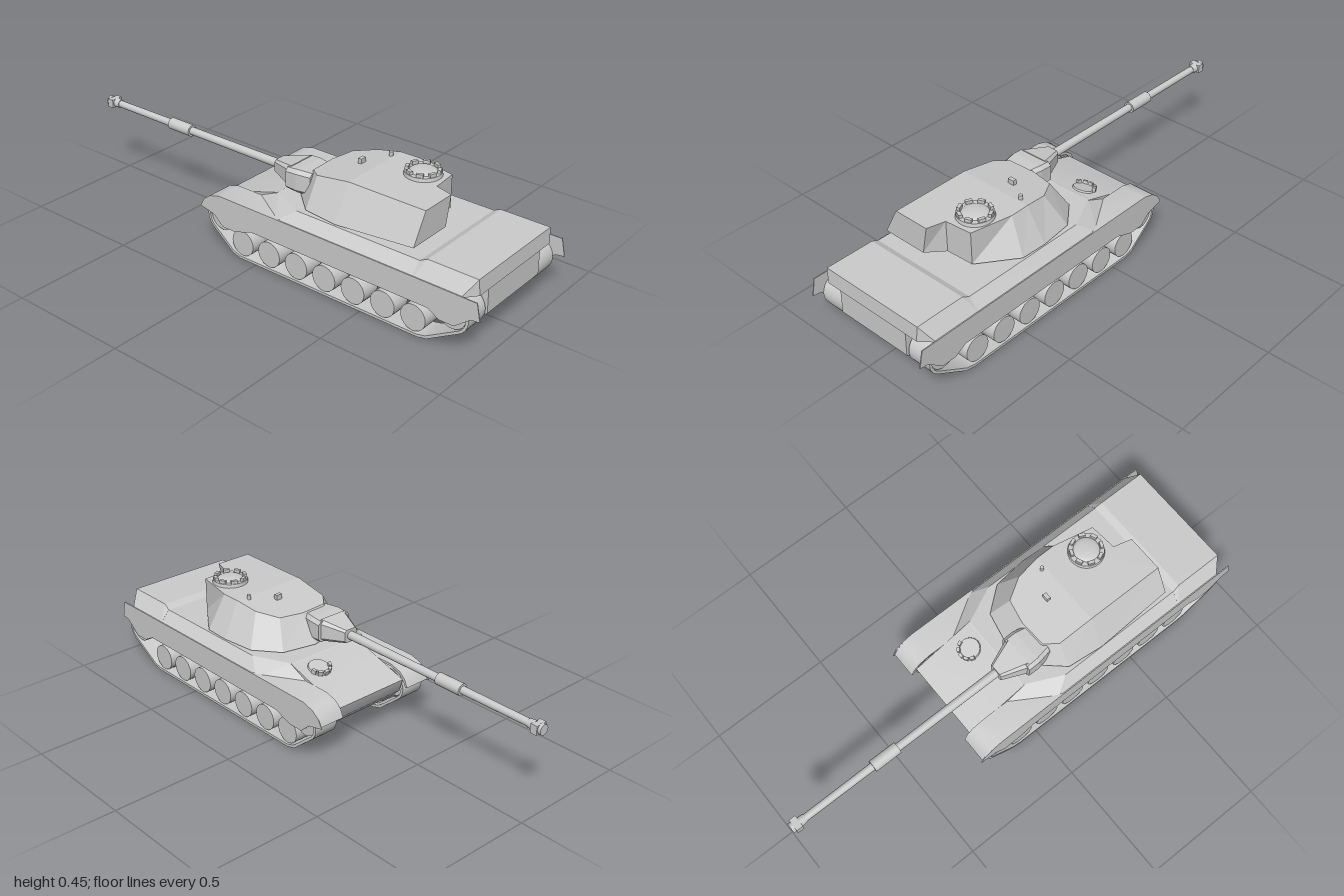
import * as THREE from 'three';
import { ConvexGeometry } from 'three/addons/geometries/ConvexGeometry.js';
import { toCreasedNormals } from 'three/addons/utils/BufferGeometryUtils.js';

const material = new THREE.MeshStandardMaterial({ color: 0xcccccc, side: THREE.DoubleSide });

function add(parent, name, geometry, x = 0, y = 0, z = 0) {
  const mesh = new THREE.Mesh(geometry, material);
  mesh.name = name;
  mesh.position.set(x, y, z);
  parent.add(mesh);
  return mesh;
}

const creased = (g) => toCreasedNormals(g, 0.6);
const outline = (pts) => pts.map(([a, b]) => new THREE.Vector2(a, b));

// Extrudes a side profile of [z, y] points from x0 to x1
function slab(pts, x0, x1, hole) {
  const shape = new THREE.Shape(outline(pts));
  if (hole) shape.holes.push(new THREE.Path(outline(hole)));
  const g = new THREE.ExtrudeGeometry(shape, { depth: x1 - x0, bevelEnabled: false });
  return creased(g.rotateY(-Math.PI / 2).translate(x1, 0, 0));
}

// Convex solid from [x, y, z] points mirrored across x = 0
function mirroredHull(pts) {
  const all = pts.flatMap(([x, y, z]) => [new THREE.Vector3(x, y, z), new THREE.Vector3(-x, y, z)]);
  return new ConvexGeometry(all);
}

// Cylinder lying along z, between zFront and zBack
function rod(rFront, rBack, zFront, zBack, sides = 20) {
  const g = new THREE.CylinderGeometry(rBack, rFront, zBack - zFront, sides);
  return g.rotateX(Math.PI / 2).translate(0, 0, (zFront + zBack) / 2);
}

// Track loop: two round ends joined by sloped runs to the ground
function trackLoop(t) {
  const pts = [];
  const arc = (cz, cy, r, a0, a1) => {
    for (let i = 0; i <= 12; i++) {
      const a = a0 + (a1 - a0) * i / 12;
      pts.push([cz + (r - t) * Math.cos(a), cy + (r - t) * Math.sin(a)]);
    }
  };
  arc(0.885, 0.145, 0.07, -0.95, Math.PI / 2);
  arc(-0.175, 0.145, 0.068, Math.PI / 2, Math.PI * 1.25);
  pts.push([-0.12 + t * 0.4, 0.012 + t], [-0.08, t], [0.75, t], [0.79 - t * 0.4, 0.008 + t]);
  return pts;
}

// Turret shell: base corners [x, y, z] joined to roof corners [x, z]
function turretShell() {
  const base = [
    [-0.225, 0.308, 0.685], [-0.03, 0.308, 0.685], [0.015, 0.295, 0.61], [0.128, 0.29, 0.6],
    [0.232, 0.285, 0.45], [0.236, 0.285, 0.34], [0.22, 0.285, 0.2], [0.14, 0.285, 0.1],
    [0, 0.285, 0.07], [-0.13, 0.285, 0.1], [-0.22, 0.285, 0.2], [-0.236, 0.285, 0.35]];
  const roof = [
    [-0.16, 0.685], [-0.005, 0.685], [0.015, 0.61], [0.128, 0.6], [0.163, 0.43], [0.162, 0.35],
    [0.15, 0.25], [0.1, 0.165], [0, 0.145], [-0.115, 0.15], [-0.155, 0.2], [-0.16, 0.35]];
  const n = base.length;
  const top = roof.map(([x, z]) => [x, 0.427 - 0.16 * Math.max(0, 0.35 - z), z]);
  const pos = [];
  const tri = (...corners) => corners.forEach((c) => pos.push(...c));
  const cap = (ring, flip) => {
    const flat = ring.map(([x, , z]) => new THREE.Vector2(x, -z));
    for (const [a, b, c] of THREE.ShapeUtils.triangulateShape(flat, [])) {
      if (flip) tri(ring[a], ring[c], ring[b]);
      else tri(ring[a], ring[b], ring[c]);
    }
  };
  for (let i = 0; i < n; i++) {
    const j = (i + 1) % n;
    tri(base[i], base[j], top[j]);
    tri(base[i], top[j], top[i]);
  }
  cap([...top.slice(0, 6), top[11]], false);
  cap(top.slice(5), false);
  cap(base, true);
  const g = new THREE.BufferGeometry();
  g.setAttribute('position', new THREE.Float32BufferAttribute(pos, 3));
  g.computeVertexNormals();
  return g;
}

// Chamfered rectangle in the xy plane at depth z, for the mantlet
function section(z, w, h, y = 0) {
  const c = 0.3 * h;
  return [[w, h - c], [w - c, h]].flatMap(([a, b]) => [
    new THREE.Vector3(a, y + b, z), new THREE.Vector3(-a, y + b, z),
    new THREE.Vector3(a, y - b, z), new THREE.Vector3(-a, y - b, z)]);
}

function buildHull(root) {
  const hull = new THREE.Group();
  hull.name = 'hull';
  root.add(hull);
  // Lower hull with sloped glacis and belly
  add(hull, 'lowerHull', slab([
    [0.957, 0.285], [0.96, 0.13], [0.9, 0.077], [-0.13, 0.077], [-0.19, 0.1], [-0.23, 0.14],
    [-0.247, 0.195], [0.02, 0.277], [0.72, 0.277]], -0.168, 0.168));
  // Sloped superstructure, narrowing toward the glacis
  add(hull, 'superstructure', mirroredHull([
    [0.28, 0.23, 0.74], [0.28, 0.23, 0.1], [0.17, 0.23, -0.08],
    [0.235, 0.278, 0.74], [0.235, 0.278, 0.17], [0.165, 0.278, 0.02]]));
  // Raised engine deck with clipped rear corners
  add(hull, 'engineDeck', mirroredHull([
    [0.28, 0.23, 0.92], [0.228, 0.23, 0.962], [0.28, 0.23, 0.72],
    [0.232, 0.293, 0.957], [0.232, 0.293, 0.75], [0.236, 0.278, 0.72]]));
  // Driver hatch with a half ring of vision blocks
  const hatch = new THREE.Group();
  hatch.name = 'driverHatch';
  hatch.position.set(0.085, 0.257, -0.045);
  hatch.rotation.x = -0.3;
  hull.add(hatch);
  add(hatch, 'hatchLid', new THREE.CylinderGeometry(0.042, 0.046, 0.014, 24));
  for (let i = -2; i <= 2; i++) {
    const a = i * 0.6;
    const block = add(hatch, 'visionBlock', new THREE.BoxGeometry(0.018, 0.018, 0.012),
      0.042 * Math.sin(a), 0.01, -0.042 * Math.cos(a));
    block.rotation.y = -a;
  }
}

function buildRunningGear(root, s) {
  const gear = new THREE.Group();
  gear.name = s > 0 ? 'leftRunningGear' : 'rightRunningGear';
  root.add(gear);
  const span = (a, b) => (s > 0 ? [a, b] : [-b, -a]);
  add(gear, 'track', slab(trackLoop(0), ...span(0.174, 0.277), trackLoop(0.011)));
  // Road wheels, then the larger end wheels
  const wheel = (name, r, y, z) => add(gear, name,
    new THREE.CylinderGeometry(r, r, 0.08, 24).rotateZ(Math.PI / 2), s * 0.23, y, z);
  for (let i = 0; i < 7; i++) wheel('roadWheel', 0.053, 0.066, 0.726 - i * 0.133);
  wheel('rearSprocket', 0.056, 0.145, 0.885);
  wheel('frontIdler', 0.054, 0.145, -0.175);
  // Thin side skirt with upswept rear end
  add(gear, 'sideSkirt', slab([
    [0.985, 0.236], [1, 0.166], [0.965, 0.162], [0.9, 0.11], [0.84, 0.11], [0.79, 0.138],
    [-0.02, 0.138], [-0.1, 0.11], [-0.165, 0.11], [-0.21, 0.15], [-0.28, 0.166],
    [-0.262, 0.2], [-0.23, 0.224], [-0.18, 0.238], [0.1, 0.238]], ...span(0.277, 0.281)));
  // Curved front fender over the track
  add(gear, 'frontFender', slab([
    [0.12, 0.238], [0.12, 0.228], [-0.18, 0.228], [-0.225, 0.214], [-0.25, 0.19], [-0.262, 0.166],
    [-0.272, 0.168], [-0.258, 0.2], [-0.23, 0.224], [-0.18, 0.238]], ...span(0.167, 0.279)));
}

function buildTurret(root) {
  const turret = new THREE.Group();
  turret.name = 'turret';
  root.add(turret);
  add(turret, 'turretShell', turretShell());
  add(turret, 'turretRing', new THREE.CylinderGeometry(0.21, 0.21, 0.02, 40), 0, 0.279, 0.31);
  // Commander cupola: drum, domed lid and a ring of vision blocks
  const cupola = new THREE.Group();
  cupola.name = 'cupola';
  cupola.position.set(0.066, 0.425, 0.515);
  turret.add(cupola);
  add(cupola, 'cupolaDrum', new THREE.CylinderGeometry(0.07, 0.073, 0.018, 32), 0, 0.007, 0);
  const dome = new THREE.SphereGeometry(0.052, 28, 8, 0, Math.PI * 2, 0, Math.PI / 2);
  add(cupola, 'cupolaLid', dome.scale(1, 0.22, 1), 0, 0.015, 0);
  for (let i = 0; i < 8; i++) {
    const a = (i + 0.5) * Math.PI / 4;
    const block = add(cupola, 'visionBlock', new THREE.BoxGeometry(0.026, 0.016, 0.013),
      0.06 * Math.sin(a), 0.021, 0.06 * Math.cos(a));
    block.rotation.y = a;
  }
  add(turret, 'roofSight', new THREE.BoxGeometry(0.027, 0.022, 0.016), 0.015, 0.424, 0.275);
  add(turret, 'roofPeriscope', new THREE.CylinderGeometry(0.008, 0.008, 0.026, 10), 0.115, 0.43, 0.335);
  // Mantlet block and its tapered nose
  const gun = new THREE.Group();
  gun.name = 'gun';
  gun.position.set(-0.079, 0.342, 0);
  turret.add(gun);
  add(gun, 'mantlet', new ConvexGeometry([
    ...section(0.16, 0.068, 0.046), ...section(0.1, 0.08, 0.048), ...section(0.05, 0.08, 0.044)]));
  add(gun, 'mantletNose', new ConvexGeometry([
    ...section(0.06, 0.072, 0.046, 0.002), ...section(0.02, 0.052, 0.04), ...section(-0.047, 0.03, 0.027)]));
  // Barrel, sleeve and muzzle brake
  add(gun, 'barrel', rod(0.0145, 0.0175, -0.95, -0.03));
  add(gun, 'barrelSleeve', rod(0.024, 0.024, -0.63, -0.515));
  add(gun, 'muzzleCollar', rod(0.02, 0.017, -0.965, -0.935));
  add(gun, 'muzzleBrake', new THREE.BoxGeometry(0.05, 0.036, 0.028), 0, 0, -0.974);
  add(gun, 'muzzleRim', rod(0.021, 0.021, -1, -0.985));
}

export function createModel() {
  const root = new THREE.Group();
  root.name = 'tank';
  buildHull(root);
  for (const s of [1, -1]) buildRunningGear(root, s);
  buildTurret(root);
  return root;
}
